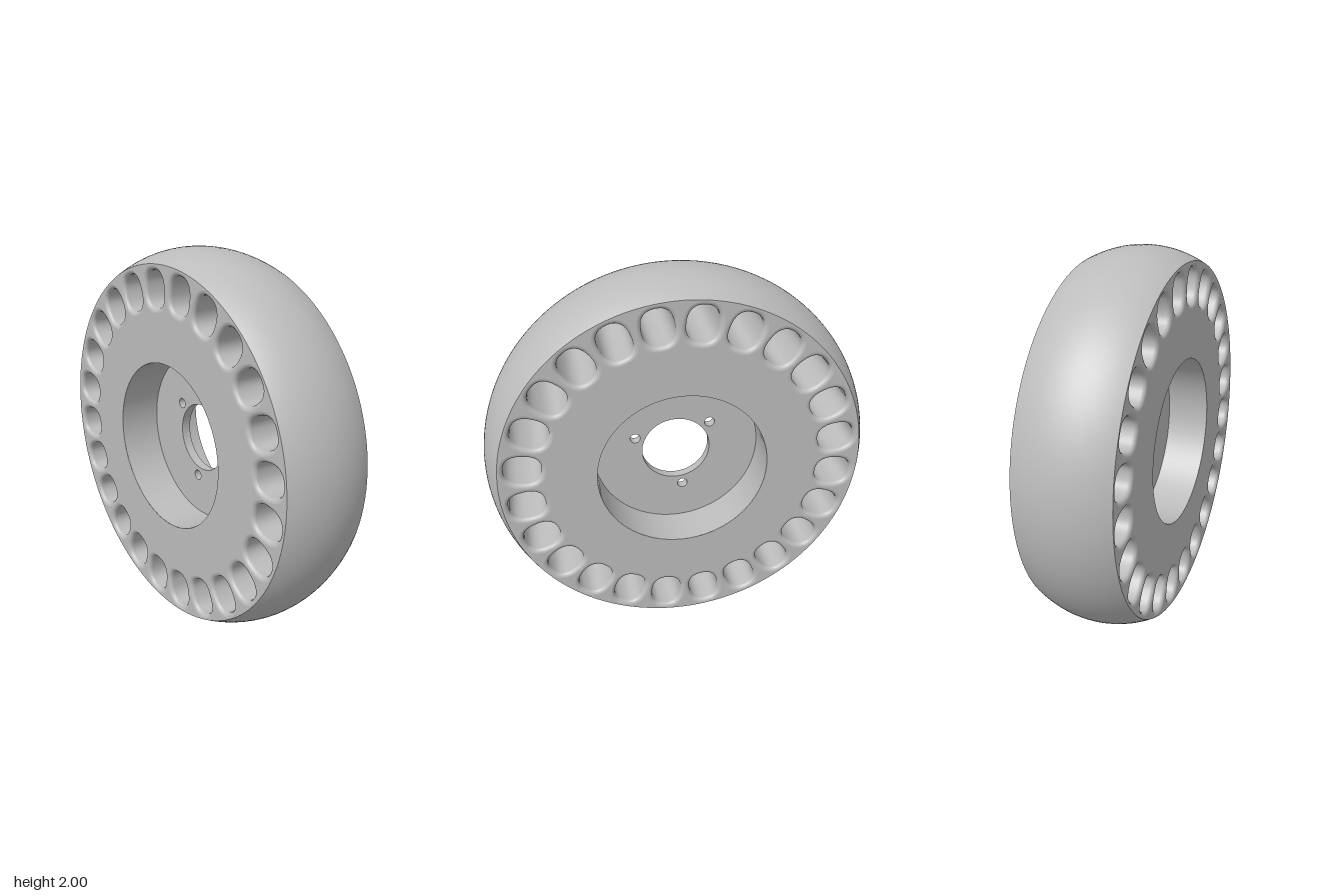
import * as THREE from 'three';

const HALF = 0.25;        // half width of the wheel
const RIM = 0.935;        // radius where tread meets side face
const RECESS = 0.44;
const WEB = 0.025;        // half thickness of the hub web
const FILLET = 0.022;
const HOLES = 24;

// Rounded oval outline of a rim hole, grown by `grow`, at a given angle
function holeRing(angle, grow, n = 36) {
  const pts = [];
  const c = Math.cos(angle), s = Math.sin(angle);
  const round = (v) => Math.sign(v) * Math.pow(Math.abs(v), 2 / 2.45);
  for (let i = 0; i < n; i++) {
    const t = (i / n) * Math.PI * 2;
    const u = 0.811 + (0.095 + grow) * round(Math.cos(t));
    const v = (0.08 + grow) * round(Math.sin(t));
    pts.push(new THREE.Vector2(u * c - v * s, u * s + v * c));
  }
  return pts;
}

// Closed rings joined front to back, facing inward
function loft(rings) {
  const n = rings[0].pts.length, pos = [], idx = [];
  rings.forEach(({ pts, z }) => pts.forEach((p) => pos.push(p.x, p.y, z)));
  for (let j = 0; j < rings.length - 1; j++) {
    for (let i = 0; i < n; i++) {
      const k = (i + 1) % n;
      const a = j * n + i, b = j * n + k, d = a + n, e = b + n;
      idx.push(a, b, d, b, e, d);
    }
  }
  const g = new THREE.BufferGeometry();
  g.setAttribute('position', new THREE.Float32BufferAttribute(pos, 3));
  g.setIndex(idx);
  g.computeVertexNormals();
  return g;
}

// Lathe around the z axis from [radius, z] points
function latheZ(points, segments) {
  const g = new THREE.LatheGeometry(points.map(([r, z]) => new THREE.Vector2(r, z)), segments);
  return g.rotateX(Math.PI / 2);
}

function circlePath(x, y, r) {
  return new THREE.Path().absarc(x, y, r, 0, Math.PI * 2, true);
}

export function createModel() {
  const group = new THREE.Group();
  const wheel = new THREE.Group();
  wheel.name = 'wheel';
  wheel.position.y = 1;
  group.add(wheel);

  const grey = new THREE.MeshStandardMaterial({ color: 0xbcbcbc });
  grey.name = 'plain grey';
  const add = (name, geometry) => {
    const mesh = new THREE.Mesh(geometry, grey);
    mesh.name = name;
    wheel.add(mesh);
    return mesh;
  };

  // Crowned tread: circular arc profile
  const sag = 1 - RIM;
  const R = (HALF * HALF + sag * sag) / (2 * sag);
  const reach = Math.asin(HALF / R);
  const profile = [];
  for (let i = 0; i <= 20; i++) {
    const a = reach * (i / 10 - 1);
    profile.push([1 - R + R * Math.cos(a), R * Math.sin(a)]);
  }
  add('tread', latheZ(profile, 128));

  const angles = [];
  for (let i = 0; i < HOLES; i++) angles.push(((6.5 + (i * 360) / HOLES) * Math.PI) / 180);

  // Side faces pierced by the recess and the ring of holes
  const face = new THREE.Shape().absarc(0, 0, RIM, 0, Math.PI * 2, false);
  face.holes.push(circlePath(0, 0, RECESS));
  angles.forEach((a) => face.holes.push(new THREE.Path(holeRing(a, FILLET))));
  add('frontFace', new THREE.ShapeGeometry(face, 64).translate(0, 0, HALF));
  // The back is the same outline with its triangles reversed
  const backGeometry = new THREE.ShapeGeometry(face, 64).translate(0, 0, -HALF);
  const index = backGeometry.index;
  for (let i = 0; i < index.count; i += 3) {
    const b = index.getX(i + 1);
    index.setX(i + 1, index.getX(i + 2));
    index.setX(i + 2, b);
  }
  backGeometry.computeVertexNormals();
  add('backFace', backGeometry);

  // Through holes with filleted mouths
  angles.forEach((a, i) => {
    const half = [];
    for (let k = 0; k <= 5; k++) {
      const t = (k / 5) * Math.PI / 2;
      half.push([FILLET * (1 - Math.sin(t)), HALF - FILLET * (1 - Math.cos(t))]);
    }
    const back = half.map(([grow, z]) => [grow, -z]).reverse();
    const rings = [...half, ...back].map(([grow, z]) => ({ pts: holeRing(a, grow), z }));
    add(`rimHole${i + 1}`, loft(rings));
  });

  // Recess walls on both sides of the web
  add('frontRecessWall', latheZ([[RECESS, HALF], [RECESS, WEB]], 64));
  add('backRecessWall', latheZ([[RECESS, -WEB], [RECESS, -HALF]], 64));

  // Thin hub web with axle bore and three bolt holes
  const web = new THREE.Shape().absarc(0, 0, RECESS + 0.005, 0, Math.PI * 2, false);
  web.holes.push(circlePath(0, 0, 0.181));
  for (let i = 0; i < 3; i++) {
    const a = ((21 + i * 120) * Math.PI) / 180;
    web.holes.push(circlePath(0.232 * Math.cos(a), 0.232 * Math.sin(a), 0.027));
  }
  const webGeometry = new THREE.ExtrudeGeometry(web, { depth: 2 * WEB, bevelEnabled: false, curveSegments: 32 });
  add('hubWeb', webGeometry.translate(0, 0, -WEB));

  return group;
}
